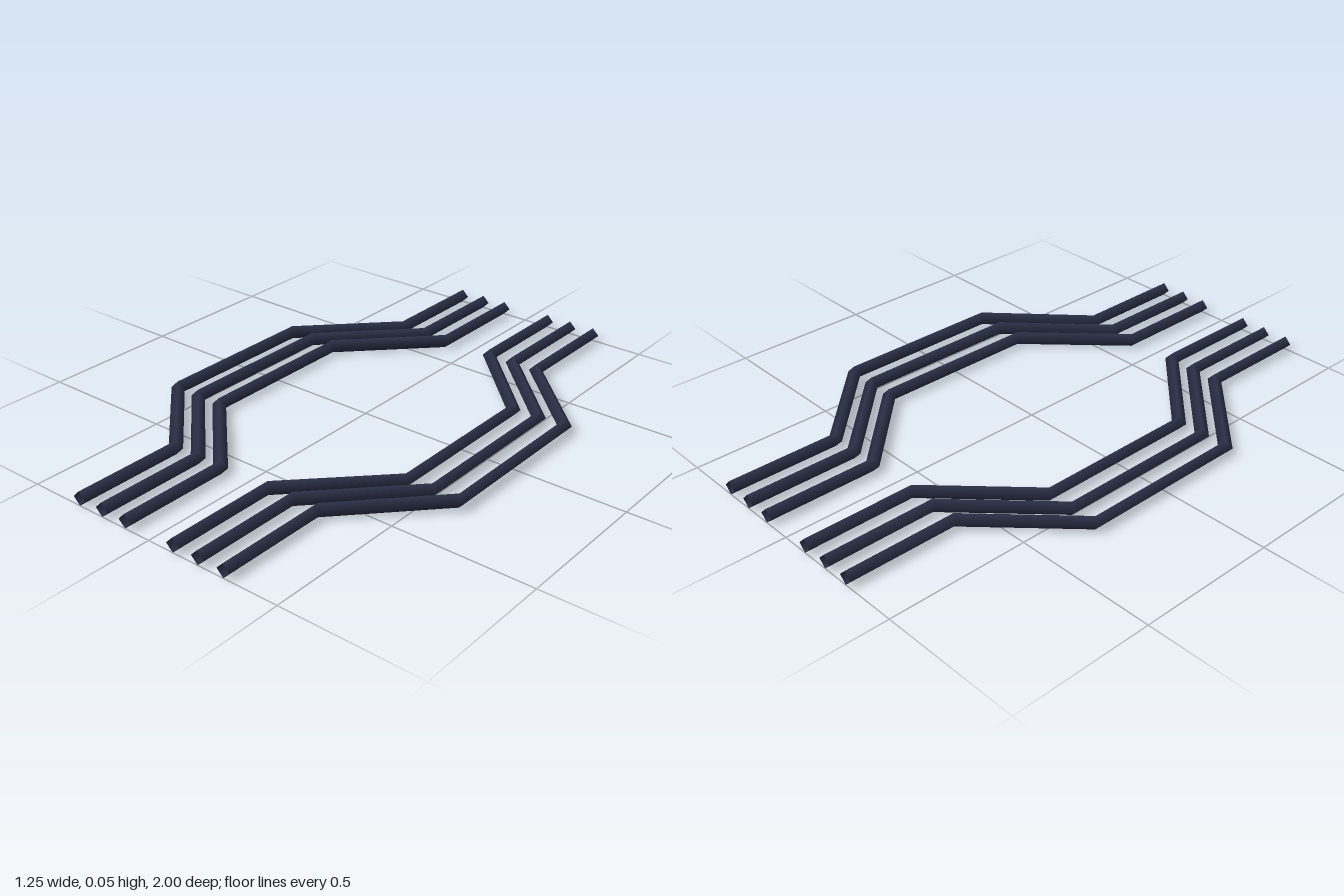
import * as THREE from 'three';

const RADIUS = 0.025;
const SIDES = 4;

// Sweeps a smooth-shaded diamond section along a bent path, one ring per point
function railGeometry(path) {
  const positions = [], normals = [], index = [];
  const up = new THREE.Vector3(0, 1, 0);
  path.forEach((p, i) => {
    const into = p.clone().sub(path[Math.max(i - 1, 0)]).normalize();
    const out = path[Math.min(i + 1, path.length - 1)].clone().sub(p).normalize();
    const side = into.add(out).setY(0).normalize().cross(up);
    for (let j = 0; j < SIDES; j++) {
      const a = (j / SIDES) * Math.PI * 2;
      const n = side.clone().multiplyScalar(Math.cos(a)).addScaledVector(up, Math.sin(a));
      normals.push(n.x, n.y, n.z);
      positions.push(p.x + n.x * RADIUS, p.y + n.y * RADIUS, p.z + n.z * RADIUS);
      if (i < path.length - 1) {
        const k = (j + 1) % SIDES, r = i * SIDES, s = r + SIDES;
        index.push(r + j, s + j, r + k, r + k, s + j, s + k);
      }
    }
  });
  const geometry = new THREE.BufferGeometry();
  geometry.setAttribute('position', new THREE.Float32BufferAttribute(positions, 3));
  geometry.setAttribute('normal', new THREE.Float32BufferAttribute(normals, 3));
  geometry.setIndex(index);
  return geometry;
}

export function createModel() {
  const model = new THREE.Group();
  model.name = 'bentRails';
  const navy = new THREE.MeshStandardMaterial({ color: 0x2b3047, side: THREE.DoubleSide });
  navy.name = 'dark navy';

  for (const sign of [-1, 1]) {
    const bank = new THREE.Group();
    bank.name = sign > 0 ? 'leftRails' : 'rightRails';
    ['inner', 'middle', 'outer'].forEach((name, i) => {
      const near = sign * (0.1 + 0.1 * i);
      const far = near + sign * 0.3;
      // The left bank bows up very slightly in its middle stretch
      const lift = sign > 0 ? 0.0025 * i : 0;
      const path = [
        [near, 0, 1], [near, 0, 0.6], [far, lift, 0.3],
        [far, lift, -0.3], [near, 0, -0.6], [near, 0, -1],
      ].map(([x, y, z]) => new THREE.Vector3(x, y + RADIUS, z));
      const rail = new THREE.Mesh(railGeometry(path), navy);
      rail.name = name + 'Rail';
      bank.add(rail);
    });
    model.add(bank);
  }
  return model;
}
